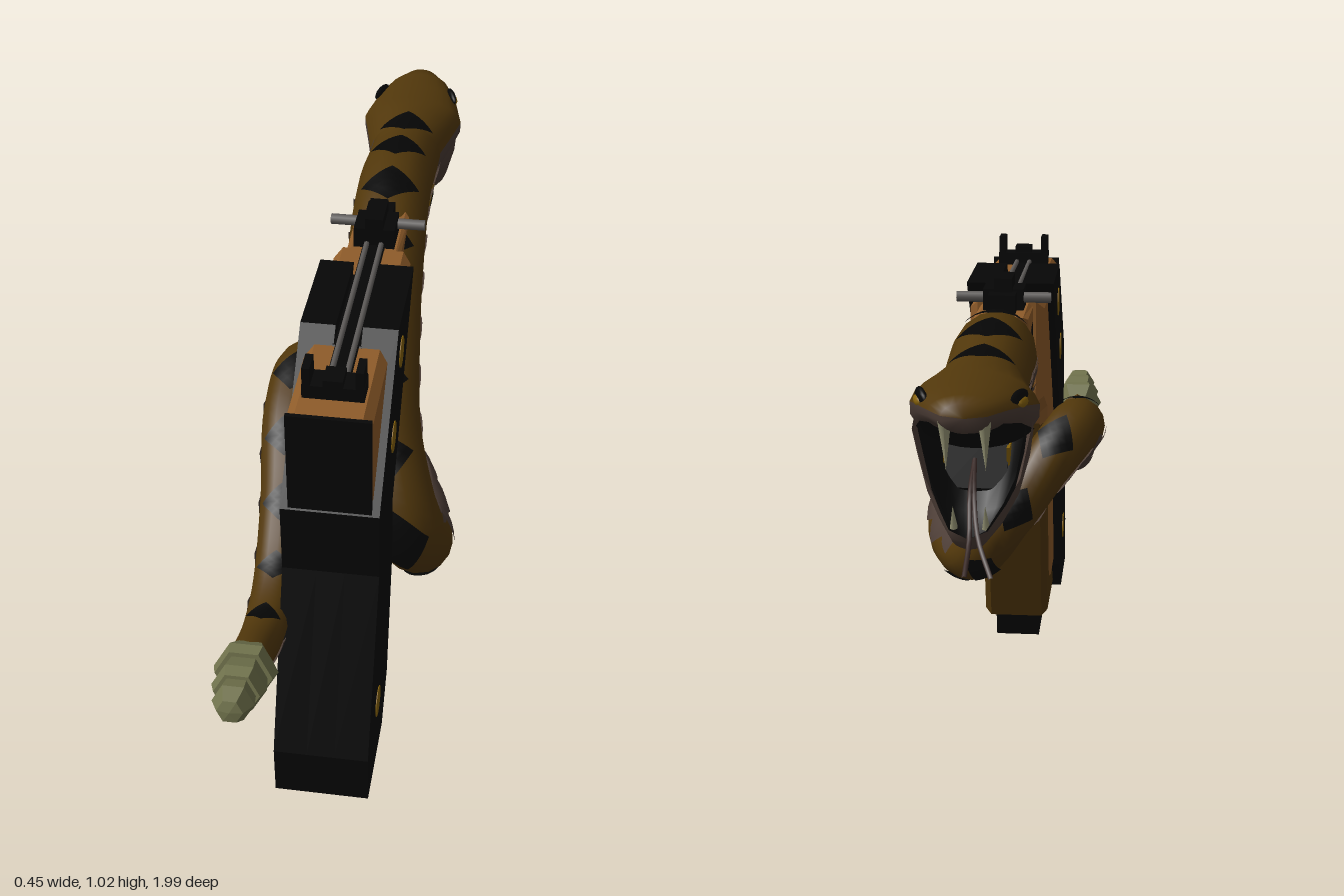
import * as THREE from 'three';

const mat = (name, color, side = THREE.FrontSide) => {
  const m = new THREE.MeshStandardMaterial({ color, side });
  m.name = name;
  return m;
};

export function createModel() {
  const model = new THREE.Group();
  const D = THREE.DoubleSide;
  const black = mat('black', 0x060606, D), tan = mat('tan', 0x8f5c2a), brown = mat('brown', 0x51370b, D);
  const gold = mat('gold', 0x86620a), belly = mat('belly', 0x4c3d36, D), horn = mat('horn', 0x70724c);
  const ivory = mat('ivory', 0x9a9878), steel = mat('steel', 0x5c5957), tongueRed = mat('tongue', 0x3a2926);

  const add = (name, geo, material, x = 0, y = 0, z = 0) => {
    const m = new THREE.Mesh(geo, material);
    m.name = name;
    m.position.set(x, y, z);
    model.add(m);
    return m;
  };
  // box given by its extents
  const box = (name, material, x0, x1, y0, y1, z0, z1) =>
    add(name, new THREE.BoxGeometry(x1 - x0, y1 - y0, z1 - z0), material, (x0 + x1) / 2, (y0 + y1) / 2, (z0 + z1) / 2);
  // side outline of [z, y] points, extruded across x with optional chamfer
  const plate = (name, material, pts, half, bevel = 0, x = 0) => {
    const shape = new THREE.Shape(pts.map(([z, y]) => new THREE.Vector2(-z, y)));
    const geo = new THREE.ExtrudeGeometry(shape, {
      depth: 2 * (half - bevel), bevelEnabled: bevel > 0, bevelSize: bevel, bevelThickness: bevel,
      bevelOffset: -bevel, bevelSegments: 1,
    });
    geo.translate(0, 0, -(half - bevel)).rotateY(Math.PI / 2);
    return add(name, geo, material, x);
  };
  // grid surface from f(u, v) -> Vector3
  const surface = (nu, nv, f) => {
    const pos = [], idx = [];
    for (let i = 0; i <= nu; i++) for (let j = 0; j <= nv; j++) pos.push(...f(i / nu, j / nv).toArray());
    for (let i = 0; i < nu; i++) for (let j = 0; j < nv; j++) {
      const a = i * (nv + 1) + j, b = a + nv + 1;
      idx.push(a, a + 1, b, b, a + 1, b + 1);
    }
    const g = new THREE.BufferGeometry();
    g.setAttribute('position', new THREE.Float32BufferAttribute(pos, 3));
    g.setIndex(idx);
    g.computeVertexNormals();
    return g;
  };

  // pistol body
  plate('gripCore', brown, [[0.57, 0.07], [0.285, 0.075], [0.2, 0.4], [0.13, 0.7], [0.45, 0.7], [0.5, 0.4]], 0.08, 0.015);
  plate('receiver', tan, [[0.475, 0.15], [0.335, 0.15], [0.24, 0.45], [0.13, 0.66], [-0.01, 0.72], [-0.01, 0.955],
    [0.597, 0.955], [0.597, 0.71], [0.56, 0.5]], 0.085, 0.018);
  plate('receiverNose', tan, [[0.05, 0.74], [-0.04, 0.74], [-0.18, 0.953], [0.05, 0.953]], 0.06, 0.01);
  const bandLow = [[0.4, 0.6], [0.4, 0.43], [0.475, 0.15], [0.555, 0.06], [0.77, 0.06], [0.77, 0.18], [0.605, 0.56], [0.605, 0.72]];
  plate('frameSpine', black, [...bandLow, [0.36, 0.958], [0.1, 0.958]], 0.03);
  for (const s of [-1, 1]) plate('frameBand', black, [...bandLow, [0.33, 0.985], [0.085, 0.98]], 0.0365, 0, s * 0.0645);
  box('rearPlate', black, -0.085, 0.085, 0.7, 0.955, 0.592, 0.602);
  plate('magazineBase', black, [[0.66, 0], [0.34, 0], [0.32, 0.075], [0.63, 0.075]], 0.055);
  plate('barrel', black, [[0.1, 0.7], [-0.7, 0.7], [-0.71, 0.73], [-0.66, 0.86], [0.1, 0.92]], 0.06);
  plate('trigger', black, [[0.08, 0.68], [0.1, 0.58], [0.2, 0.38], [0.22, 0.38], [0.19, 0.56], [0.2, 0.68]], 0.02);
  for (const s of [-1, 1]) {
    plate('barrelInlay', gold, [[-0.06, 0.738], [-0.68, 0.738], [-0.7, 0.808], [-0.25, 0.808]], 0.003, 0, s * 0.061);
    for (const [z, y] of [[0.285, 0.9], [0.4, 0.765], [0.625, 0.21]])
      add('stud', new THREE.CylinderGeometry(0.034, 0.034, 0.006, 16).rotateZ(Math.PI / 2), gold, s * 0.1, y, z);
    add('slideRod', new THREE.CylinderGeometry(0.006, 0.006, 0.58, 8).rotateX(Math.PI / 2), steel, s * 0.016, 0.963, 0.2);
    box('rearSightPost', black, s * 0.053 - 0.008, s * 0.053 + 0.008, 0.98, 1.025, 0.49, 0.54);
  }
  box('rodChannel', black, -0.024, 0.024, 0.94, 0.96, -0.05, 0.5);

  // sights
  box('rearSight', black, -0.062, 0.062, 0.94, 0.985, 0.485, 0.54);
  box('rearSightMiddle', black, -0.02, 0.02, 0.98, 1.0, 0.49, 0.54);
  box('frontSight', black, -0.045, 0.045, 0.93, 1.0, -0.1, -0.02);
  box('frontSightBlade', black, -0.02, 0.02, 0.99, 1.025, -0.11, -0.02);
  box('frontSightNose', black, -0.03, 0.03, 0.95, 0.995, -0.15, -0.1);
  add('sightPin', new THREE.CylinderGeometry(0.012, 0.012, 0.21, 8).rotateZ(Math.PI / 2), steel, 0, 0.98, -0.085);

  // serpent body: x, y, z, radius from neck to tail
  const spine = [
    [0, 0.88, -0.68, 0.085], [0, 0.88, -0.55, 0.086], [0, 0.9, -0.35, 0.088], [0.01, 0.865, -0.15, 0.088],
    [0.025, 0.76, 0.04, 0.088], [0.055, 0.62, 0.215, 0.085], [0.115, 0.46, 0.31, 0.083], [0.145, 0.35, 0.25, 0.076],
    [0.13, 0.325, 0.12, 0.063], [0.07, 0.35, -0.02, 0.06], [0, 0.45, -0.09, 0.056], [-0.09, 0.58, -0.06, 0.06],
    [-0.15, 0.645, 0.03, 0.064], [-0.16, 0.62, 0.17, 0.063], [-0.14, 0.53, 0.36, 0.056], [-0.13, 0.45, 0.54, 0.05],
    [-0.13, 0.445, 0.68, 0.045], [-0.13, 0.5, 0.82, 0.042],
  ];
  const curve = new THREE.CatmullRomCurve3(spine.map(([x, y, z]) => new THREE.Vector3(x, y, z)));
  const radius = (t) => {
    const k = THREE.MathUtils.clamp(t, 0, 1) * (spine.length - 1), i = Math.min(Math.floor(k), spine.length - 2);
    return THREE.MathUtils.lerp(spine[i][3], spine[i + 1][3], k - i);
  };
  const X = new THREE.Vector3(1, 0, 0);
  // point on the skin; angle 0 is the middle of the back
  const skin = (t, a, lift = 0) => {
    const T = curve.getTangent(t), N = new THREE.Vector3().crossVectors(T, X).normalize();
    const S = new THREE.Vector3().crossVectors(T, N), r = radius(t) + lift;
    return curve.getPoint(t).addScaledVector(N, r * Math.cos(a)).addScaledVector(S, r * Math.sin(a));
  };
  add('serpentBody', surface(140, 16, (u, v) => skin(u, Math.PI * (2 * v - 1))), brown);

  // belly with zigzag edges
  const length = curve.getLength();
  const at = (s) => curve.getUtoTmapping(0, THREE.MathUtils.clamp(s, 0, length));
  const teeth = 24;
  add('serpentBelly', surface(teeth * 6, 12, (u, v) => {
    const zig = Math.abs(((u * teeth) % 1) * 2 - 1);
    return skin(at(u * length), Math.PI + (2 * v - 1) * (0.95 + 0.6 * zig), 0.004);
  }), belly);

  // diamond markings on the back
  for (let s = 0.1; s < length - 0.05; s += 0.155) {
    const half = Math.min(0.055, 0.8 * radius(at(s)));
    add('diamond', surface(5, 5, (u, v) => skin(at(s + half * (u + v - 1)), 0.82 * (u - v), 0.005)), black);
  }

  // head: rows of z, centre y, half width, half height
  const loft = (rows, a0, a1, grow = 0) => surface(rows.length - 1, 10, (u, v) => {
    const [z, y, w, h] = rows[Math.round(u * (rows.length - 1))], a = a0 + (a1 - a0) * v;
    return new THREE.Vector3((w + grow) * Math.cos(a), y + (h + grow) * Math.sin(a), z);
  });
  const skull = [[-0.57, 0.88, 0.088, 0.085], [-0.66, 0.88, 0.108, 0.087], [-0.72, 0.89, 0.124, 0.074],
    [-0.8, 0.91, 0.102, 0.048], [-0.87, 0.92, 0.072, 0.034], [-0.91, 0.92, 0.042, 0.028], [-0.912, 0.92, 0, 0]];
  add('headTop', loft(skull, 0.15, Math.PI - 0.15), brown);
  add('headSides', loft(skull, Math.PI - 0.15, 2 * Math.PI + 0.15), belly);
  add('mouthRoof', loft(skull.slice(2, 5), Math.PI + 0.5, 2 * Math.PI - 0.5, 0.004), black);

  // open trough of cheeks and lower jaw: rim z, y, keel z, y, half width
  const jaw = [[-0.62, 0.9, -0.54, 0.82, 0.082], [-0.73, 0.88, -0.62, 0.775, 0.112], [-0.785, 0.865, -0.685, 0.72, 0.11],
    [-0.77, 0.77, -0.735, 0.685, 0.09], [-0.79, 0.725, -0.78, 0.66, 0.066], [-0.845, 0.69, -0.82, 0.645, 0.036],
    [-0.85, 0.675, -0.835, 0.65, 0]];
  const trough = (inset) => surface(jaw.length - 1, 12, (u, v) => {
    const [rz, ry, kz, ky, w] = jaw[Math.round(u * (jaw.length - 1))];
    const a = Math.PI * v, depth = Math.pow(Math.max(Math.sin(a), 0), 0.7) * (1 - inset);
    return new THREE.Vector3(w * (1 - inset) * Math.cos(a), ry + (ky - ry) * depth, rz + (kz - rz) * depth);
  });
  add('lowerJaw', trough(0), belly);
  add('mouthLining', trough(0.1), black);

  // eyes, fangs and forked tongue
  for (const s of [-1, 1]) {
    for (const [name, material, x, y, h, l] of [['eyePatch', black, 0.09, 0.932, 0.016, 0.036], ['eye', gold, 0.095, 0.924, 0.011, 0.022]]) {
      const eye = add(name, new THREE.SphereGeometry(1, 10, 6), material, s * x, y, -0.8);
      eye.scale.set(0.009, h, l);
      eye.rotation.y = s * 0.35;
    }
    const fang = add('upperFang', new THREE.ConeGeometry(0.014, 0.1, 6), ivory, s * 0.036, 0.865, -0.885);
    fang.rotation.x = Math.PI - 0.15;
    const tooth = add('lowerFang', new THREE.ConeGeometry(0.008, 0.05, 6), ivory, s * 0.03, 0.71, -0.825);
    tooth.rotation.x = -0.3;
    const fork = new THREE.CatmullRomCurve3([[0, 0.79, -0.72], [s * 0.004 - 0.005, 0.75, -0.82],
      [s * 0.008 - 0.015, 0.69, -0.89], [s * 0.022 - 0.03, 0.643 + s * 0.008, -0.97 - s * 0.02]].map((p) => new THREE.Vector3(...p)));
    add('tongueFork', new THREE.TubeGeometry(fork, 12, 0.005, 5), tongueRed);
  }

  // rattle
  const profile = [[0, 0], [0.045, 0], [0.065, 0.04], [0.058, 0.065], [0.048, 0.065], [0.055, 0.105], [0.046, 0.13],
    [0.038, 0.13], [0.042, 0.16], [0.026, 0.192], [0, 0.197]].map(([r, h]) => new THREE.Vector2(r, h));
  const rattleGeo = new THREE.LatheGeometry(profile, 6, Math.PI / 6).toNonIndexed();
  rattleGeo.computeVertexNormals();
  const rattle = add('rattle', rattleGeo, horn, -0.13, 0.495, 0.805);
  rattle.rotation.x = Math.PI / 2 - 0.25;

  return model;
}
